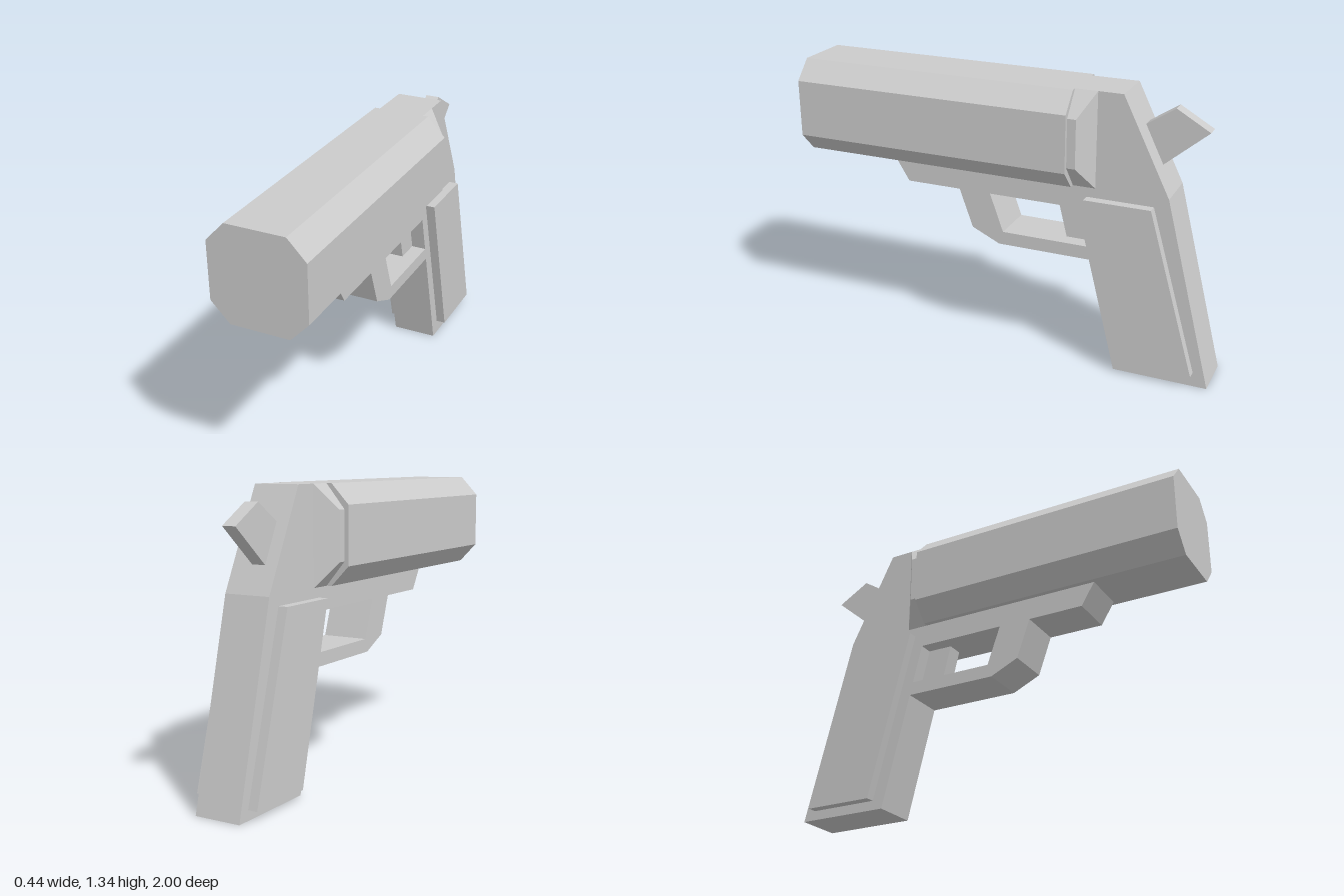
import * as THREE from 'three';
import { ConvexGeometry } from 'three/addons/geometries/ConvexGeometry.js';

const material = new THREE.MeshStandardMaterial({ color: 0xcccccc, flatShading: true });
const toPoints = (list) => list.map(([a, b]) => new THREE.Vector2(a, b));

// Side profile given as (z, y) corners, spanning x0 to x1
function sidePlate(name, profile, x0, x1, hole) {
  const shape = new THREE.Shape(toPoints(profile));
  if (hole) shape.holes.push(new THREE.Path(toPoints(hole)));
  const geometry = new THREE.ExtrudeGeometry(shape, { depth: x1 - x0, bevelEnabled: false });
  geometry.rotateY(-Math.PI / 2).translate(x1, 0, 0);
  const mesh = new THREE.Mesh(geometry, material);
  mesh.name = name;
  return mesh;
}

export function createModel() {
  const group = new THREE.Group();
  group.name = 'pistol';

  // Frame: receiver, grip core and trigger guard in one profile
  group.add(sidePlate('frame', [
    [-0.44, 1.335], [-0.555, 1.335], [-0.775, 0.89], [-1, 0], [-0.555, 0], [-0.42, 0.54],
    [0.025, 0.54], [0.16, 0.603], [0.225, 0.785], [0.49, 0.785], [0.555, 0.89], [-0.44, 0.89],
  ], -0.11, 0.11, [[0.07, 0.785], [0.005, 0.603], [-0.405, 0.603], [-0.36, 0.785]]));

  // Trigger at the back of the guard opening
  group.add(sidePlate('trigger',
    [[-0.24, 0.785], [-0.37, 0.785], [-0.415, 0.603], [-0.285, 0.603]], -0.04, 0.04));

  // Hammer, slightly off centre
  group.add(sidePlate('hammer',
    [[-0.63, 1.185], [-0.76, 1.27], [-0.915, 1.18], [-0.715, 1.01]], -0.05, 0.015));

  // Grip panels
  group.add(sidePlate('leftGripPanel',
    [[-0.4, 0.845], [-0.71, 0.845], [-0.932, 0.07], [-0.6, 0.07]], 0.11, 0.155));
  group.add(sidePlate('rightGripPanel',
    [[-0.4, 0.845], [-0.71, 0.845], [-0.94, 0.045], [-0.605, 0.045]], -0.155, -0.11));

  // Barrel: chamfered block
  const outline = new THREE.Shape(toPoints([
    [0.135, 0.89], [0.22, 0.98], [0.22, 1.245], [0.135, 1.335],
    [-0.135, 1.335], [-0.22, 1.245], [-0.22, 0.98], [-0.135, 0.89],
  ]));
  const barrelGeometry = new THREE.ExtrudeGeometry(outline, { depth: 1.335, bevelEnabled: false });
  const barrel = new THREE.Mesh(barrelGeometry.translate(0, 0, -0.335), material);
  barrel.name = 'barrel';
  group.add(barrel);

  // Breech collar tapering from the barrel into the frame
  const corners = [];
  for (const s of [-1, 1]) {
    for (const y of [1, 1.225]) {
      for (const z of [-0.335, -0.375]) corners.push(new THREE.Vector3(s * 0.2, y, z));
    }
    for (const y of [0.89, 1.335]) {
      for (const z of [-0.335, -0.44]) corners.push(new THREE.Vector3(s * 0.11, y, z));
    }
  }
  const collar = new THREE.Mesh(new ConvexGeometry(corners), material);
  collar.name = 'breechCollar';
  group.add(collar);

  return group;
}
